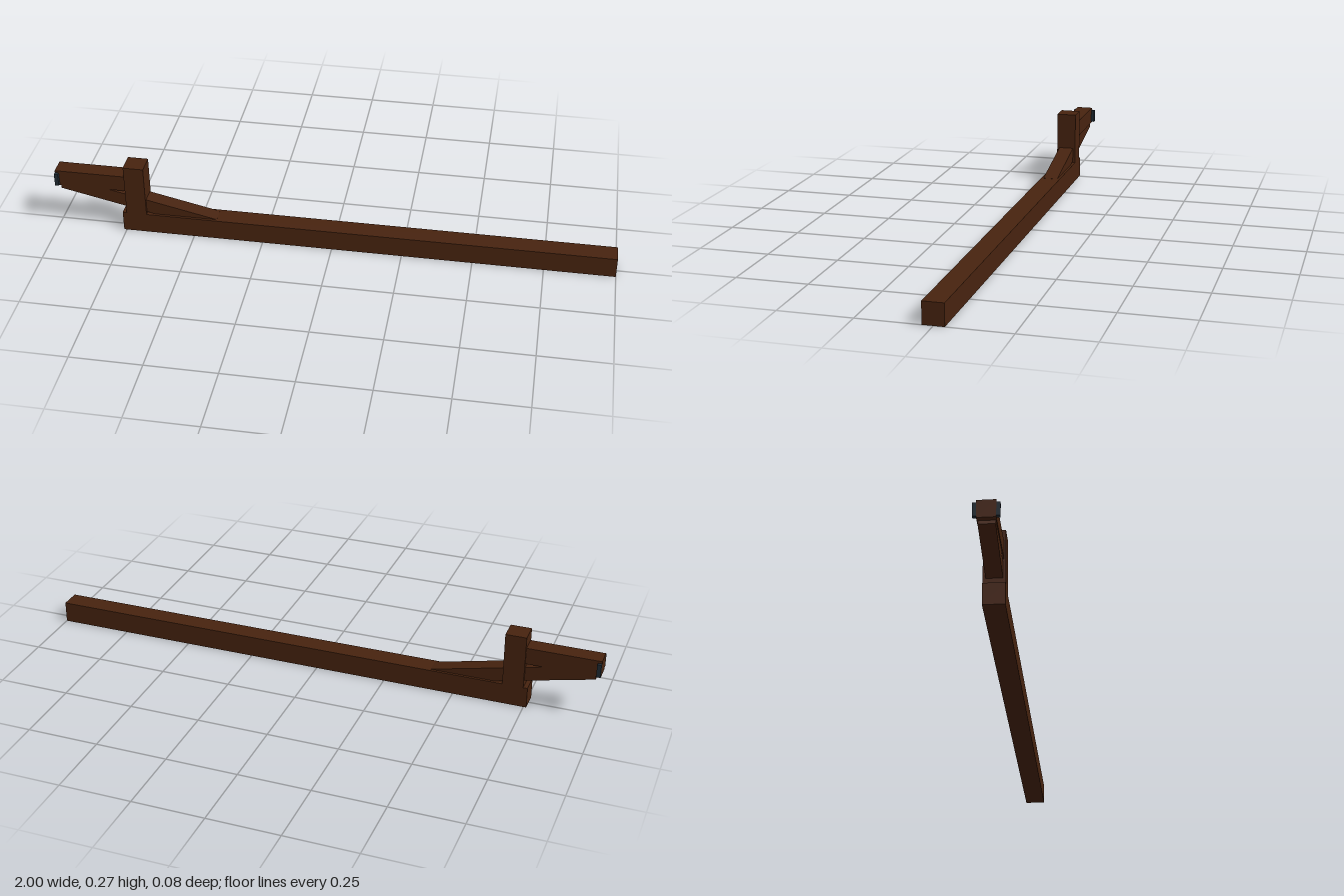
import * as THREE from 'three';

export function createModel() {
  const group = new THREE.Group();
  const wood = new THREE.MeshStandardMaterial({ name: 'dark wood', color: 0x47230f });
  const metal = new THREE.MeshStandardMaterial({ name: 'dark metal', color: 0x1f2a33 });

  // Box given by its x, y and z extents
  function block(name, [x0, x1], [y0, y1], [z0, z1], material = wood) {
    const mesh = new THREE.Mesh(new THREE.BoxGeometry(x1 - x0, y1 - y0, z1 - z0), material);
    mesh.position.set((x0 + x1) / 2, (y0 + y1) / 2, (z0 + z1) / 2);
    mesh.name = name;
    group.add(mesh);
    return mesh;
  }

  // Long beam lying on the ground, with the post standing near its end
  block('mainBeam', [-0.76, 1], [0, 0.075], [-0.036, 0.036]);
  block('post', [-0.745, -0.672], [0.075, 0.267], [-0.036, 0.036]);

  // Short arm reaching out from the post
  block('arm', [-1, -0.74], [0.165, 0.225], [-0.03, 0.03]);

  // Sloping brace running through the post into the main beam
  const brace = block('brace', [-0.985, -0.415], [0.0886, 0.1386], [-0.027, 0.027]);
  brace.rotation.z = -Math.atan(0.225);

  // Metal plates on both sides of the arm's tip
  for (const side of [-1, 1]) {
    const z = [side * 0.03, side * 0.042].sort((a, b) => a - b);
    block(side > 0 ? 'frontTipPlate' : 'backTipPlate', [-1, -0.986], [0.17, 0.217], z, metal);
  }
  return group;
}
